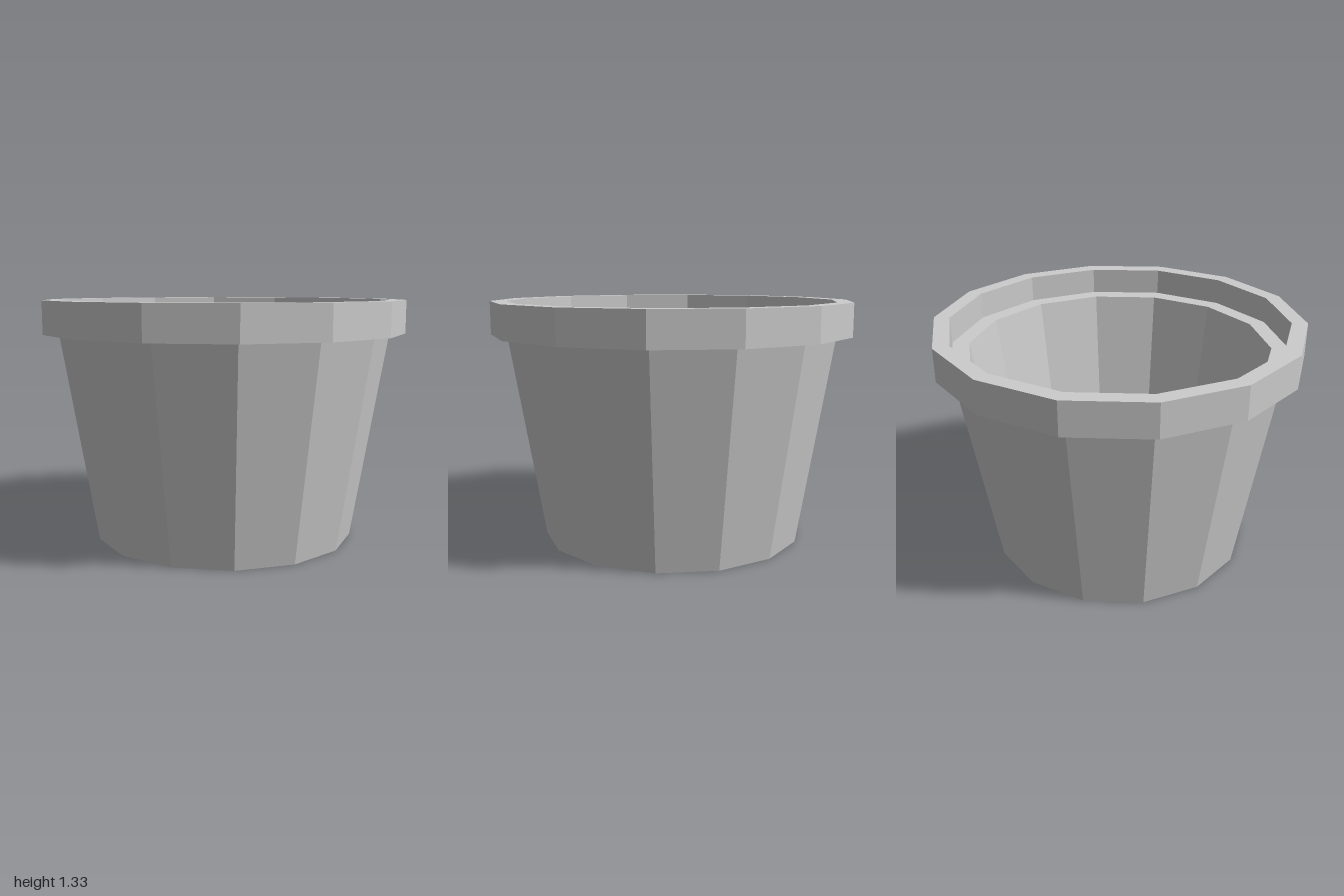
import * as THREE from 'three';

const SIDES = 14;

// Faceted ring of SIDES flats from a [radius, height] profile (outside listed bottom to top)
function lathe(name, profile, material) {
  const points = profile.map(([r, y]) => new THREE.Vector2(r, y));
  const mesh = new THREE.Mesh(new THREE.LatheGeometry(points, SIDES), material);
  mesh.name = name;
  return mesh;
}

export function createModel() {
  const pot = new THREE.Group();
  pot.name = 'flowerPot';

  const grey = new THREE.MeshStandardMaterial({ color: 0xcccccc, flatShading: true });
  grey.name = 'plain grey';

  // Tapered outer wall with closed base
  pot.add(lathe('outerWall', [[0, 0], [0.725, 0], [0.914, 1.144]], grey));

  // Overhanging rim: underside, outer band, top and inner band
  pot.add(lathe('rim', [[0.914, 1.144], [1, 1.144], [1, 1.325], [0.914, 1.325], [0.914, 1.18]], grey));

  // Ledge below the rim, inner wall and floor
  pot.add(lathe('innerWall', [[0.914, 1.18], [0.82, 1.18], [0.68, 0.2], [0, 0.2]], grey));

  return pot;
}
